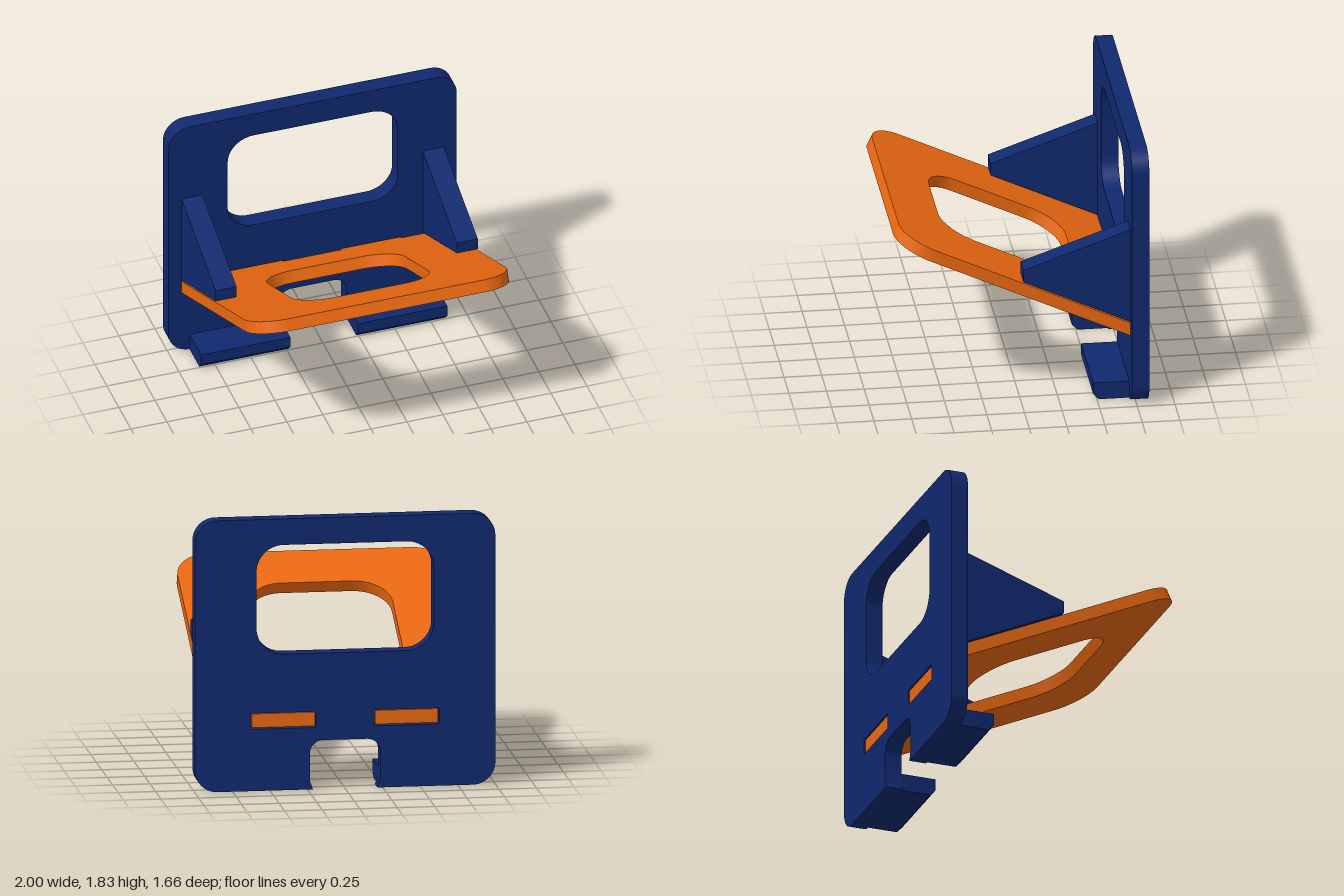
import * as THREE from 'three';
import { toCreasedNormals } from 'three/addons/utils/BufferGeometryUtils.js';

const BLUE = new THREE.MeshStandardMaterial({ color: 0x10296f });
const ORANGE = new THREE.MeshStandardMaterial({ color: 0xea6811 });

const TILT = Math.atan(0.467);          // slope of the shelf
const BACK = -0.83, FACE = -0.715;      // back and front of the upright panel
const SHELF_Y = 0.475;                  // underside of the shelf where it meets the panel
const THICK = 0.083;                    // shelf thickness

// Closed outline through corners [x, y, radius]; square corners have no radius
function rounded(corners, path = new THREE.Path()) {
  const pts = corners.map(([x, y]) => new THREE.Vector2(x, y));
  const n = pts.length;
  corners.forEach(([, , r = 0], i) => {
    const p = pts[i];
    const toward = (q, d) => p.clone().add(q.clone().sub(p).setLength(d));
    const prev = pts[(i + n - 1) % n], next = pts[(i + 1) % n];
    const a = toward(prev, r), b = toward(next, r);
    if (i === 0) path.moveTo(a.x, a.y);
    else path.lineTo(a.x, a.y);
    if (r > 0) {
      const c1 = toward(prev, r * 0.448), c2 = toward(next, r * 0.448);
      path.bezierCurveTo(c1.x, c1.y, c2.x, c2.y, b.x, b.y);
    }
  });
  path.closePath();
  return path;
}

const box = (x0, x1, y0, y1, r = 0) => [[x0, y0, r], [x1, y0, r], [x1, y1, r], [x0, y1, r]];

const extrude = (shape, depth) =>
  new THREE.ExtrudeGeometry(shape, { depth, bevelEnabled: false, curveSegments: 14 });

function mesh(name, geometry, material) {
  const m = new THREE.Mesh(toCreasedNormals(geometry, 0.5), material);
  m.name = name;
  return m;
}

// Upright panel with window, cable notch and two sloping slots
function makePanel() {
  const shape = rounded([
    [-1, 0, 0.15], [-0.215, 0], [-0.235, 0.06], [-0.235, 0.33, 0.09],
    [0.235, 0.33, 0.09], [0.235, 0.06], [0.215, 0],
    [1, 0, 0.15], [1, 1.825, 0.15], [-1, 1.825, 0.15],
  ], new THREE.Shape());
  shape.holes.push(rounded(box(-0.59, 0.59, 0.915, 1.65, 0.18)));
  for (const s of [-1, 1]) shape.holes.push(rounded(box(s * 0.41 - 0.215, s * 0.41 + 0.215, 0.415, 0.522)));
  const depth = FACE - BACK;
  const g = extrude(shape, depth);
  // Shear the slots to follow the shelf slope
  const p = g.attributes.position;
  for (let i = 0; i < p.count; i++) {
    const inSlot = Math.abs(p.getX(i)) < 0.7 && p.getY(i) > 0.4 && p.getY(i) < 0.6;
    if (inSlot && p.getZ(i) > 0.01) p.setY(i, p.getY(i) + depth * Math.tan(TILT));
  }
  g.translate(0, 0, BACK);
  return mesh('backPanel', g, BLUE);
}

// Tilted shelf with an opening and two tabs that enter the slots
function makeShelf() {
  const c = Math.cos(TILT), s = Math.sin(TILT);
  const end = 1.545 / c, tab = -0.107 / c;
  const hole0 = (-0.40 - FACE) / c, hole1 = (0.51 - FACE) / c;
  const shape = rounded([
    [-0.91, 0], [-0.62, 0], [-0.62, tab], [-0.2, tab], [-0.2, 0],
    [0.2, 0], [0.2, tab], [0.62, tab], [0.62, 0], [0.91, 0],
    [0.91, end, 0.24], [-0.91, end, 0.24],
  ], new THREE.Shape());
  shape.holes.push(rounded(box(-0.475, 0.475, hole0, hole1, 0.24)));
  const g = extrude(shape, THICK);
  // Cut the rear edge parallel to the panel
  const p = g.attributes.position;
  for (let i = 0; i < p.count; i++) {
    if (p.getY(i) < 0.01) p.setY(i, p.getY(i) + p.getZ(i) * Math.tan(TILT));
  }
  g.applyMatrix4(new THREE.Matrix4().makeBasis(
    new THREE.Vector3(-1, 0, 0), new THREE.Vector3(0, s, c), new THREE.Vector3(0, c, -s)));
  g.translate(0, SHELF_Y, FACE);
  return mesh('shelf', g, ORANGE);
}

// Side profile given as [z, y], extruded along x from x0 to x1
function sidePart(name, profile, x0, x1) {
  const g = extrude(new THREE.Shape(profile.map(([z, y]) => new THREE.Vector2(-z, y))), x1 - x0);
  g.rotateY(Math.PI / 2);
  g.translate(x0, 0, 0);
  return mesh(name, g, BLUE);
}

export function createModel() {
  const model = new THREE.Group();
  model.name = 'tiltedStand';
  model.add(makePanel(), makeShelf());

  const gusset = [[FACE, 1.245], [FACE, 0.577], [-0.005, 0.908], [-0.005, 0.992]];
  const lip = [[FACE, 0], [-0.512, 0], [-0.475, 0.04], [-0.475, 0.12], [FACE, 0.12]];
  for (const [side, s] of [['left', 1], ['right', -1]]) {
    const span = (a, b) => (s > 0 ? [a, b] : [-b, -a]);
    model.add(sidePart(side + 'Gusset', gusset, ...span(0.765, 0.91)));
    model.add(sidePart(side + 'FrontLip', lip, ...span(0.235, 0.855)));
  }
  return model;
}
